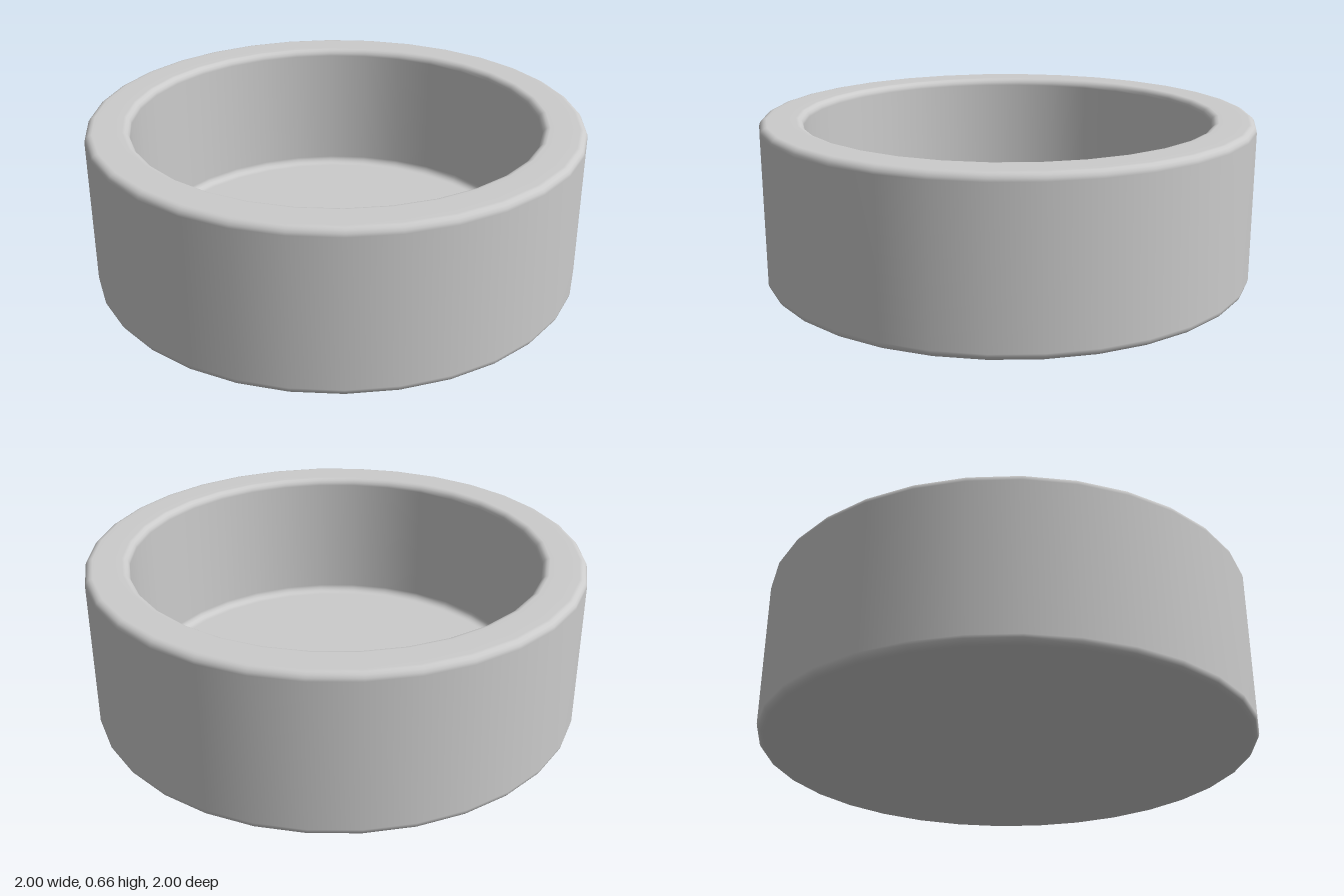
import * as THREE from 'three';

const OUTER = 1, INNER = 0.825, HEIGHT = 0.66, FLOOR = 0.08, ROUND = 0.03;

// Points of a quarter-round corner, from one angle to another (degrees)
function corner(cx, cy, from, to, steps = 4) {
  return Array.from({ length: steps + 1 }, (_, i) => {
    const a = THREE.MathUtils.degToRad(from + ((to - from) * i) / steps);
    return new THREE.Vector2(cx + ROUND * Math.cos(a), cy + ROUND * Math.sin(a));
  });
}

export function createModel() {
  const group = new THREE.Group();
  group.name = 'roundDish';

  // Cross-section: underside, outer wall, rim, inner wall, floor.
  // Extra points beside the corners keep the underside and floor flat-looking.
  const profile = [
    new THREE.Vector2(0, 0),
    new THREE.Vector2(OUTER - ROUND - 0.01, 0),
    ...corner(OUTER - ROUND, ROUND, -90, 0),
    ...corner(OUTER - ROUND, HEIGHT - ROUND, 0, 90),
    ...corner(INNER + ROUND, HEIGHT - ROUND, 90, 180),
    ...corner(INNER - ROUND, FLOOR + ROUND, 0, -90),
    new THREE.Vector2(INNER - ROUND - 0.01, FLOOR),
    new THREE.Vector2(0, FLOOR),
  ];

  const dish = new THREE.Mesh(
    new THREE.LatheGeometry(profile, 32),
    new THREE.MeshStandardMaterial({ color: 0xcccccc })
  );
  dish.name = 'dish';
  group.add(dish);
  return group;
}
